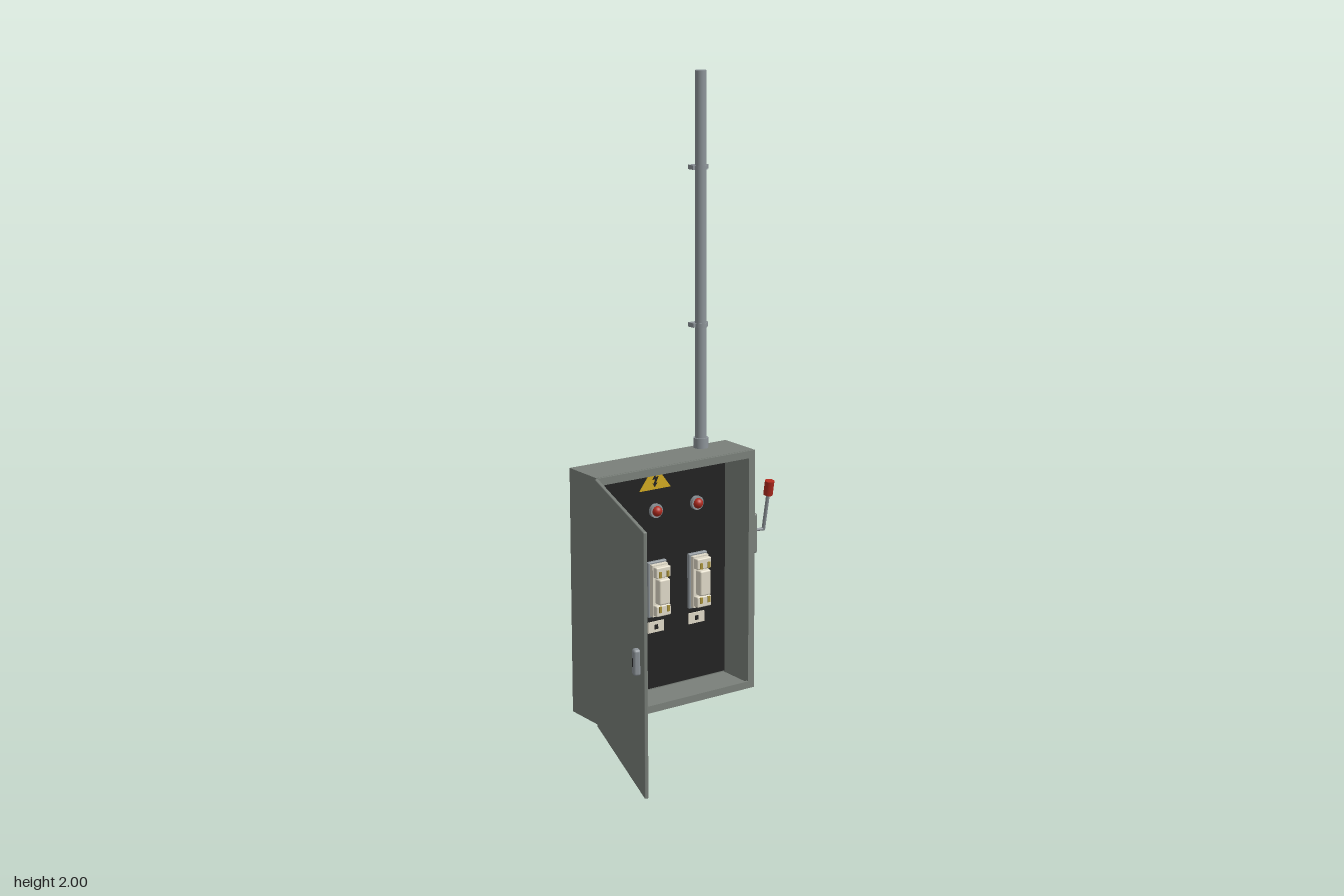
import * as THREE from 'three';
import { RoundedBoxGeometry } from 'three/addons/geometries/RoundedBoxGeometry.js';

const mat = (name, color) => {
  const m = new THREE.MeshStandardMaterial({ color });
  m.name = name;
  return m;
};

export function createModel() {
  const steel = mat('grey painted steel', 0x7a807a);
  const metal = mat('galvanised metal', 0x8d9499);
  const dark = mat('dark grey', 0x555a58);
  const black = mat('black', 0x222222);
  const cream = mat('cream ceramic', 0xe0dac8);
  const paper = mat('paper', 0xd6cfbf);
  const brass = mat('brass', 0xa8913a);
  const red = mat('red', 0xb02a1e);
  const yellow = mat('warning yellow', 0xd0a820);

  const root = new THREE.Group();
  root.name = 'electricalCabinet';

  const add = (parent, name, geo, material, x = 0, y = 0, z = 0) => {
    const m = new THREE.Mesh(geo, material);
    m.name = name;
    m.position.set(x, y, z);
    parent.add(m);
    return m;
  };
  const box = (p, n, m, w, h, d, x, y, z) => add(p, n, new THREE.BoxGeometry(w, h, d), m, x, y, z);
  const rounded = (p, n, m, w, h, d, r, x, y, z) => add(p, n, new RoundedBoxGeometry(w, h, d, 3, r), m, x, y, z);
  const cyl = (p, n, m, r, h, x, y, z, seg = 24) => add(p, n, new THREE.CylinderGeometry(r, r, h, seg), m, x, y, z);
  const group = (p, n, x, y, z) => {
    const g = new THREE.Group();
    g.name = n;
    g.position.set(x, y, z);
    p.add(g);
    return g;
  };
  // Rectangular frame extruded along z from z0
  const frame = (p, n, m, w, h, t, depth, x, y, z0) => {
    const rect = (C, a, b) => new C([[-a, -b], [a, -b], [a, b], [-a, b]].map(q => new THREE.Vector2(...q)));
    const s = rect(THREE.Shape, w / 2, h / 2);
    s.holes.push(rect(THREE.Path, w / 2 - t, h / 2 - t));
    return add(p, n, new THREE.ExtrudeGeometry(s, { depth, bevelEnabled: false }), m, x, y, z0);
  };
  const plate = (p, n, m, pts, x, y, z) => {
    const s = new THREE.Shape(pts.map(q => new THREE.Vector2(...q)));
    return add(p, n, new THREE.ExtrudeGeometry(s, { depth: 0.003, bevelEnabled: false }), m, x, y, z);
  };

  // Enclosure: back, walls, and a front lip set off by a shallow groove
  const cabinet = group(root, 'cabinet', 0.05, 0.4, 0);
  box(cabinet, 'backWall', steel, 0.6, 0.8, 0.01, 0, 0, -0.356);
  frame(cabinet, 'sideWalls', steel, 0.6, 0.8, 0.012, 0.138, 0, 0, -0.351);
  frame(cabinet, 'gasketGroove', dark, 0.594, 0.794, 0.016, 0.003, 0, 0, -0.213);
  frame(cabinet, 'frontLip', steel, 0.6, 0.8, 0.024, 0.008, 0, 0, -0.21);

  // Mounting panel with everything fixed to it
  box(cabinet, 'mountingPanel', black, 0.553, 0.752, 0.008, 0, 0, -0.336);
  const face = -0.332;
  plate(cabinet, 'warningTriangle', yellow, [[-0.06, 0], [0.06, 0], [0, 0.08]], 0, 0.29, face);
  plate(cabinet, 'warningBolt', black,
    [[0.004, 0.056], [-0.012, 0.032], [0, 0.034], [-0.006, 0.02], [-0.011, 0.022], [-0.003, 0.008],
      [0.007, 0.021], [0.001, 0.021], [0.012, 0.042], [0, 0.039]], 0, 0.29, face + 0.002);

  for (const x of [-0.16, 0, 0.16]) {
    // Indicator lamp
    const lamp = group(cabinet, 'indicatorLamp', x, 0.22, face);
    cyl(lamp, 'lampBezel', metal, 0.023, 0.012, 0, 0, 0.006).rotation.x = Math.PI / 2;
    const dome = add(lamp, 'lampLens',
      new THREE.SphereGeometry(0.017, 24, 10, 0, Math.PI * 2, 0, Math.PI / 2), red, 0, 0, 0.012);
    dome.rotation.x = Math.PI / 2;

    // Fuse holder
    const fuse = group(cabinet, 'fuseHolder', x, -0.038, face);
    rounded(fuse, 'fuseBase', metal, 0.072, 0.186, 0.014, 0.004, 0, 0, 0.007);
    box(fuse, 'fuseBody', cream, 0.06, 0.172, 0.02, 0, 0, 0.02);
    rounded(fuse, 'fuseCartridge', cream, 0.042, 0.085, 0.03, 0.006, 0, 0, 0.042);
    for (const s of [-1, 1]) {
      rounded(fuse, 'fuseEndBlock', cream, 0.056, 0.036, 0.026, 0.004, 0, s * 0.064, 0.036);
      for (const t of [-1, 1]) {
        box(fuse, 'terminal', brass, 0.009, 0.02, 0.006, t * 0.015, s * 0.058, 0.05);
      }
    }

    // Label plate with a plain mark
    box(cabinet, 'labelPlate', cream, 0.062, 0.036, 0.005, x, -0.168, face + 0.002);
    box(cabinet, 'labelMark', black, 0.013, 0.015, 0.003, x, -0.168, face + 0.005);
  }

  // Door swung open about its left hinge; local -z is the inside face
  const door = group(root, 'door', -0.255, 0, -0.203);
  door.rotation.y = THREE.MathUtils.degToRad(-110);
  rounded(door, 'doorPanel', steel, 0.594, 0.8, 0.012, 0.003, 0.297, 0.4, 0);
  box(door, 'documentSheet', paper, 0.302, 0.304, 0.003, 0.302, 0.502, -0.0065);
  rounded(door, 'latchHandle', metal, 0.026, 0.08, 0.022, 0.008, 0.542, 0.4, 0.015);
  box(door, 'latchSlot', black, 0.006, 0.026, 0.003, 0.542, 0.4, 0.0255);

  // Hinges in the gap between cabinet and door
  for (const y of [0.14, 0.66]) cyl(root, 'hinge', dark, 0.005, 0.07, -0.252, y, -0.207, 12);

  // Conduit with base collar and wall clamps
  const conduit = group(root, 'conduit', 0.23, 0, -0.332);
  cyl(conduit, 'pipe', metal, 0.018, 1.2, 0, 1.4, 0, 32);
  cyl(conduit, 'pipeCollar', metal, 0.024, 0.034, 0, 0.816, 0, 32);
  for (const y of [1.2, 1.7]) {
    cyl(conduit, 'clampRing', metal, 0.021, 0.014, 0, y, 0, 32);
    box(conduit, 'clampFoot', metal, 0.058, 0.014, 0.028, 0, y, -0.014);
  }

  // Isolator switch on the left side
  const isolator = group(root, 'isolatorSwitch', 0, 0, 0);
  rounded(isolator, 'switchBox', steel, 0.05, 0.135, 0.076, 0.008, 0.375, 0.503, -0.288);
  const rod = (n, m, a, b, r) => {
    const p = new THREE.Vector3(...a), q = new THREE.Vector3(...b);
    const mesh = cyl(isolator, n, m, r, p.distanceTo(q), ...p.clone().lerp(q, 0.5).toArray());
    mesh.quaternion.setFromUnitVectors(new THREE.Vector3(0, 1, 0), q.sub(p).normalize());
  };
  rod('switchHub', dark, [0.395, 0.503, -0.288], [0.408, 0.503, -0.288], 0.011);
  rod('switchShaft', metal, [0.4, 0.503, -0.288], [0.452, 0.5, -0.288], 0.005);
  rod('switchLever', metal, [0.451, 0.497, -0.289], [0.451, 0.63, -0.263], 0.006);
  rod('switchGrip', red, [0.451, 0.622, -0.265], [0.451, 0.67, -0.256], 0.0155);

  return root;
}
